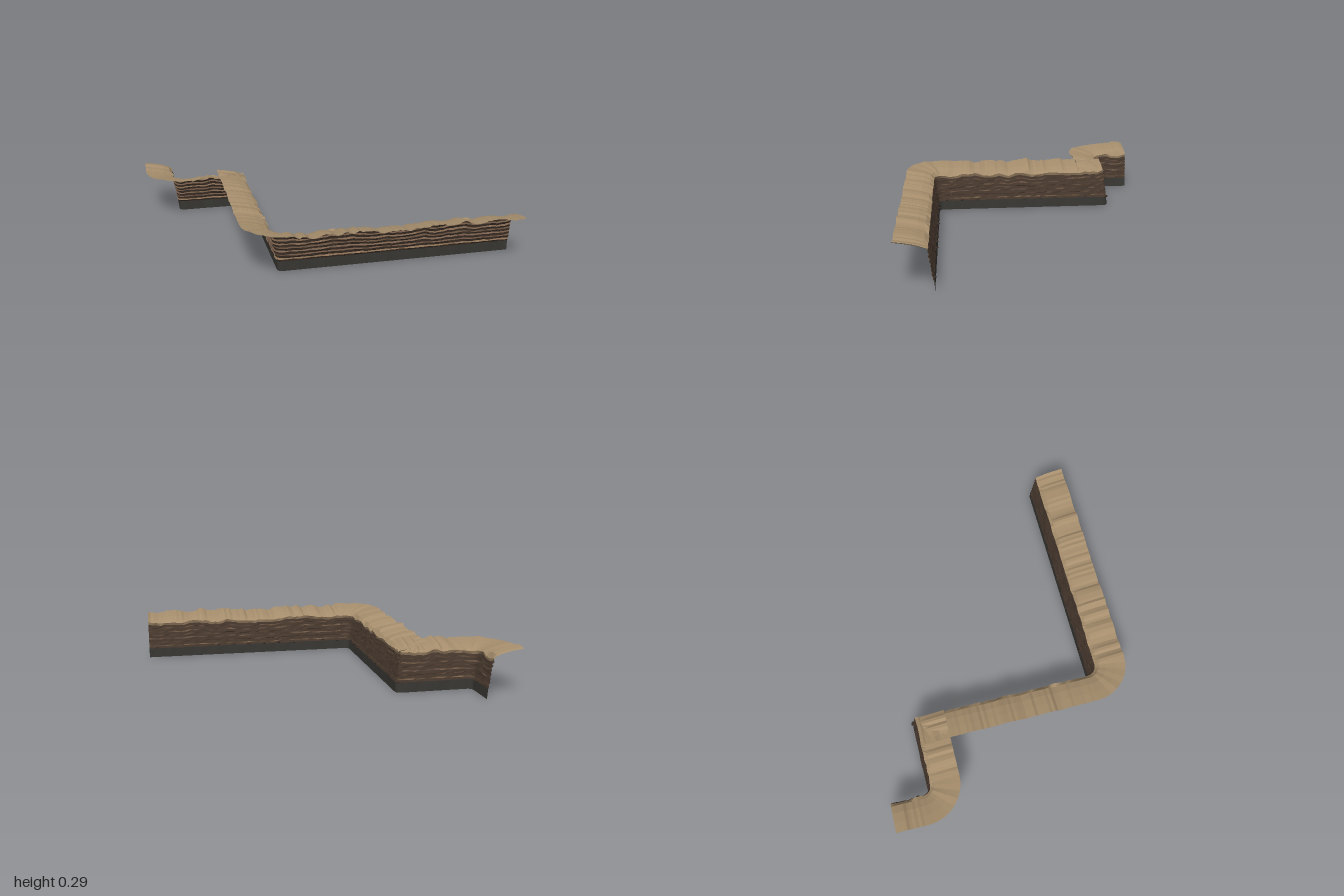
import * as THREE from 'three';

// Seeded value in -1..1 for an integer, and a smooth version of it
const hash = (n) => {
  const s = Math.sin(n * 127.1 + 11.7) * 43758.5453;
  return (s - Math.floor(s)) * 2 - 1;
};
const noise = (t, seed) => {
  const i = Math.floor(t), f = t - i, k = f * f * (3 - 2 * f);
  return hash(i + seed * 57) * (1 - k) + hash(i + 1 + seed * 57) * k;
};

// Foot of the cliff as corner points [x, z], with small rounded corners
const CORNERS = [[-0.8, -0.762], [-0.8, -0.55], [-0.35, -0.55], [-0.35, 0.56], [1, 0.56]];
const RADIUS = 0.03, STEP = 0.017;

// Samples along the foot: position, direction towards the plateau, distance travelled
function samplePath() {
  const out = [];
  let dist = 0;
  const add = (x, z, nx, nz) => {
    const p = out[out.length - 1];
    if (p) dist += Math.hypot(x - p.x, z - p.z);
    out.push({ x, z, nx, nz, d: dist });
  };
  for (let i = 0; i < CORNERS.length - 1; i++) {
    const [ax, az] = CORNERS[i], [bx, bz] = CORNERS[i + 1];
    const len = Math.hypot(bx - ax, bz - az);
    const dx = (bx - ax) / len, dz = (bz - az) / len;
    const last = i === CORNERS.length - 2;
    const start = i ? RADIUS : 0, end = last ? len : len - RADIUS;
    const count = Math.round((end - start) / STEP);
    for (let k = 0; k <= count; k++) {
      const t = start + (end - start) * k / count;
      add(ax + dx * t, az + dz * t, -dz, dx);
    }
    if (last) break;
    // Quarter arc into the next run
    const [cx, cz] = CORNERS[i + 2];
    const l2 = Math.hypot(cx - bx, cz - bz), ex = (cx - bx) / l2, ez = (cz - bz) / l2;
    const ox = bx + (ex - dx) * RADIUS, oz = bz + (ez - dz) * RADIUS;
    for (let k = 1; k < 8; k++) {
      const a = k / 8 * Math.PI / 2, c = Math.cos(a), s = Math.sin(a);
      add(ox + (dx * s - ex * c) * RADIUS, oz + (dz * s - ez * c) * RADIUS,
        -dz * c - ez * s, dx * c + ex * s);
    }
  }
  return out;
}

// Surface through rows of points; rows run along the path
function surface(path, rows, name, color) {
  const pos = [], index = [], n = path.length;
  rows.forEach((row) => path.forEach((p, i) => {
    const [off, y] = row(p, i);
    pos.push(p.x + p.nx * off, y, p.z + p.nz * off);
  }));
  for (let r = 0; r < rows.length - 1; r++) {
    for (let i = 0; i < n - 1; i++) {
      const a = r * n + i, b = a + 1, c = a + n, d = c + 1;
      index.push(a, c, b, b, c, d);
    }
  }
  const geo = new THREE.BufferGeometry();
  geo.setAttribute('position', new THREE.Float32BufferAttribute(pos, 3));
  geo.setIndex(index);
  geo.computeVertexNormals();
  const mesh = new THREE.Mesh(geo, new THREE.MeshStandardMaterial({
    color, flatShading: true, side: THREE.DoubleSide,
  }));
  mesh.name = name;
  return mesh;
}

export function createModel() {
  const group = new THREE.Group();
  group.name = 'cliffEdge';
  const path = samplePath();

  // Rock layer boundaries: wavier and further back with height
  const levels = [0.058, 0.07, 0.078, 0.094, 0.1, 0.116, 0.124, 0.138, 0.146, 0.16, 0.168, 0.184, 0.192, 0.206, 0.222];
  const boundary = (k) => (p) => {
    const y = levels[k], rise = (y - 0.058) / 0.164;
    const wave = noise(p.d * 14, 3) * 0.011 + noise(p.d * 37, 5) * 0.005;
    const off = 0.004 + rise * 0.026 + (k % 2 ? 0.003 : -0.002) + noise(p.d * 30, 20 + k) * 0.003;
    return [off, y + wave * rise + noise(p.d * 45, 40 + k) * 0.0016];
  };

  // Dark base band
  group.add(surface(path, [() => [0, 0], boundary(0)], 'baseBand', 0x383733));

  // Rock strata: thick brown layers split by thin dark seams
  const browns = [0x8a6f55, 0x6d5444, 0x7d6350, 0x66503f, 0x806650, 0x745b48, 0x8f775c];
  for (let k = 0; k < levels.length - 1; k++) {
    const seam = k % 2 === 0 && k < levels.length - 2;
    group.add(surface(path, [boundary(k), boundary(k + 1)], seam ? 'darkSeam' : 'rockLayer',
      seam ? 0x43352b : browns[(k >> 1) % browns.length]));
  }

  // Ragged plateau strip rising away from the cliff edge
  const plateau = (off, y, rough) => (p, i) => [off,
    y + (noise(p.d * 11, 7) * 0.011 + noise(p.d * 31, 8) * 0.009 + hash(i * 3 + 1) * 0.004) * rough];
  group.add(surface(path, [
    boundary(levels.length - 1),
    plateau(0.048, 0.236, 0.8),
    plateau(0.09, 0.25, 0.95),
    plateau(0.145, 0.261, 1),
    plateau(0.2, 0.269, 1),
  ], 'plateauStrip', 0xa58d6c));

  // Small rocks lodged along the ledge above the base
  const rockGeo = new THREE.DodecahedronGeometry(0.009, 0);
  const rockMat = new THREE.MeshStandardMaterial({ color: 0x3a2f27, flatShading: true });
  for (let i = 3; i < path.length - 1; i += 6) {
    const p = path[i], h = hash(i + 500);
    if (h < -0.1) continue;
    const rock = new THREE.Mesh(rockGeo, rockMat);
    rock.name = 'ledgeRock';
    rock.position.set(p.x, 0.063 + hash(i) * 0.005, p.z);
    rock.rotation.y = Math.atan2(p.nx, p.nz);
    rock.scale.set(1.1 + h * 0.6, 0.7, 0.9 + h * 0.4);
    group.add(rock);
  }
  return group;
}
